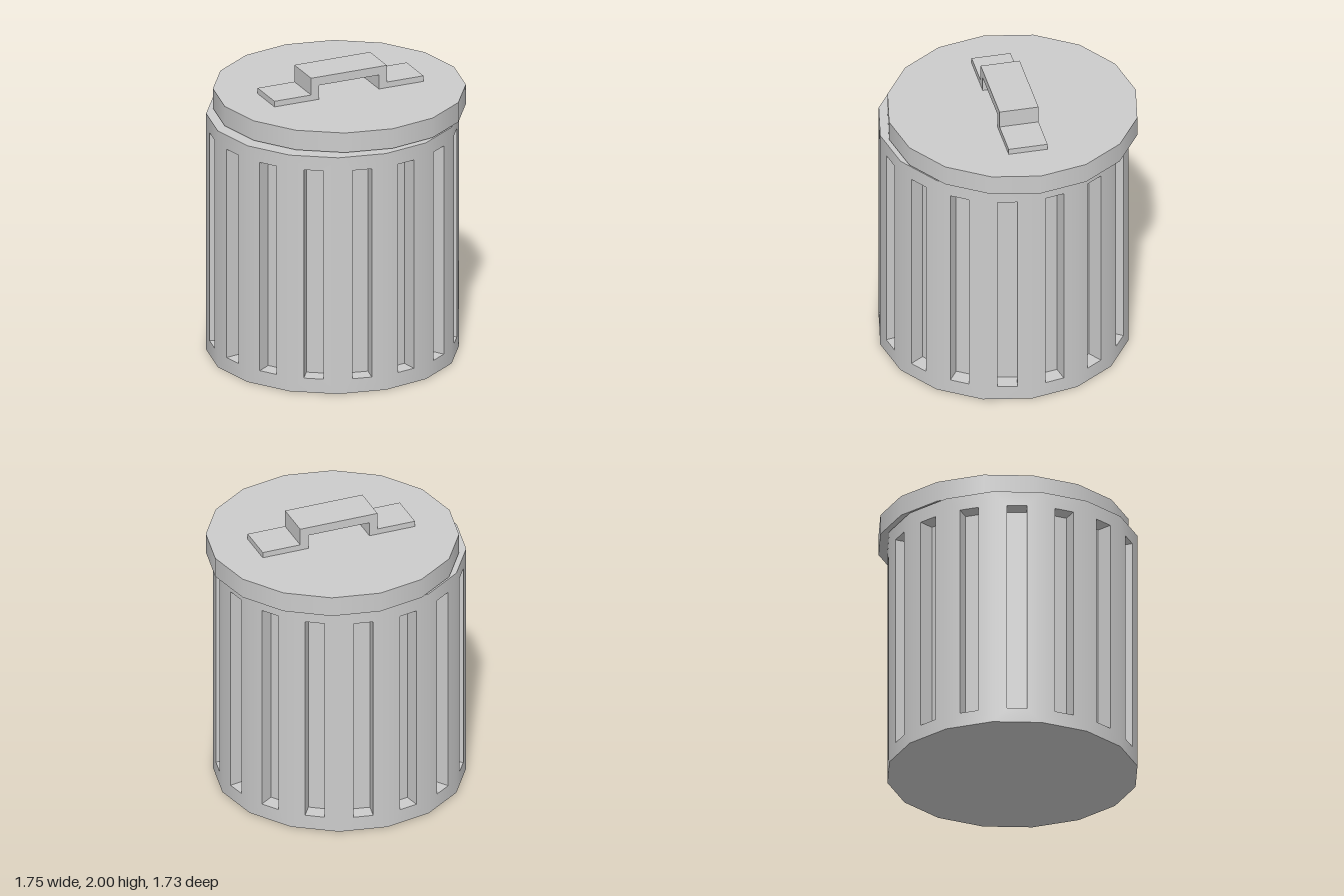
import * as THREE from 'three';
import { mergeGeometries } from 'three/addons/utils/BufferGeometryUtils.js';

const SIDES = 16, RADIUS = 0.8425, HALF = Math.PI / SIDES;
const BODY_H = 1.69, SLOT_W = 0.133, SLOT_BOTTOM = 0.1, SLOT_TOP = 1.59, SLOT_DEPTH = 0.11;
const APOTHEM = RADIUS * Math.cos(HALF), PANEL_HALF = RADIUS * Math.sin(HALF);

function rectangle(target, x, y0, y1) {
  target.moveTo(-x, y0).lineTo(x, y0).lineTo(x, y1).lineTo(-x, y1).closePath();
  return target;
}

// One wall panel with a slot opening; normals bend round the drum for smooth shading
function slottedPanel() {
  const shape = rectangle(new THREE.Shape(), PANEL_HALF, 0, BODY_H);
  shape.holes.push(rectangle(new THREE.Path(), SLOT_W / 2, SLOT_BOTTOM, SLOT_TOP));
  const geo = new THREE.ShapeGeometry(shape);
  const { position, normal } = geo.attributes;
  for (let i = 0; i < position.count; i++) {
    const a = position.getX(i) / PANEL_HALF * HALF;
    normal.setXYZ(i, Math.sin(a), 0, Math.cos(a));
  }
  return geo.translate(0, 0, APOTHEM);
}

// Recess behind the opening: a box turned inside out, without its front face
function slotRecess() {
  const height = SLOT_TOP - SLOT_BOTTOM;
  const geo = new THREE.BoxGeometry(SLOT_W, height, SLOT_DEPTH);
  const index = Array.from(geo.index.array);
  index.splice(24, 6);
  geo.setIndex(index.reverse());
  const normals = geo.attributes.normal.array;
  for (let i = 0; i < normals.length; i++) normals[i] *= -1;
  return geo.translate(0, SLOT_BOTTOM + height / 2, APOTHEM - SLOT_DEPTH / 2);
}

function bodyGeometry() {
  const parts = [
    new THREE.CircleGeometry(RADIUS, SIDES).rotateX(-Math.PI / 2).translate(0, BODY_H, 0),
    new THREE.CircleGeometry(RADIUS, SIDES).rotateX(Math.PI / 2),
  ];
  for (let i = 0; i < SIDES; i++) {
    const angle = (2 * i + 1) * HALF;
    parts.push(slottedPanel().rotateY(angle), slotRecess().rotateY(angle));
  }
  return mergeGeometries(parts);
}

// Bent strap: two feet and a raised grip, mirrored about its middle
function handleGeometry() {
  const half = [[0.22, 0], [0.547, 0], [0.547, 0.04], [0.278, 0.04], [0.278, 0.16]];
  const mirrored = half.map(([x, y]) => [-x, y]).reverse();
  const outline = [[0.22, 0.1], ...half, ...mirrored, [-0.22, 0.1]];
  const shape = new THREE.Shape(outline.map(([x, y]) => new THREE.Vector2(x, y)));
  return new THREE.ExtrudeGeometry(shape, { depth: 0.266, bevelEnabled: false }).translate(0, 0, -0.133);
}

export function createModel() {
  const group = new THREE.Group();
  const material = new THREE.MeshStandardMaterial({ color: 0xcccccc });
  const add = (name, geometry, x, y, z) => {
    const mesh = new THREE.Mesh(geometry, material);
    mesh.name = name;
    mesh.position.set(x, y, z);
    group.add(mesh);
  };

  add('binBody', bodyGeometry(), -0.036, 0, 0.022);
  // The lid sits slightly off centre, just above the rim
  add('lid', new THREE.CylinderGeometry(RADIUS, RADIUS, 0.14, SIDES), 0.034, 1.77, -0.022);
  add('lidHandle', handleGeometry(), 0.034, 1.84, -0.003);
  return group;
}
